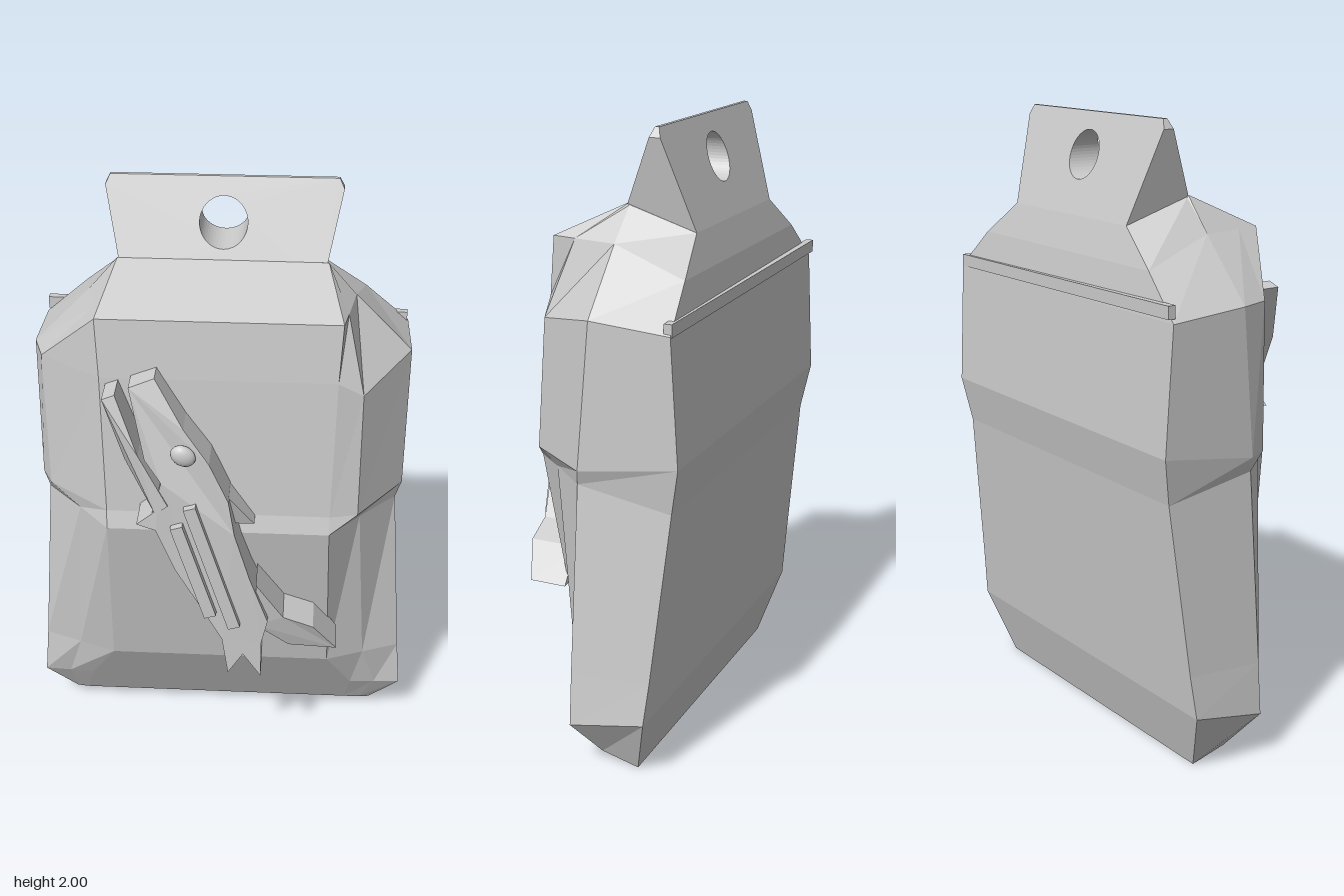
import * as THREE from 'three';

const material = new THREE.MeshStandardMaterial({ color: 0xcccccc, flatShading: true });

function mesh(name, geometry) {
  const m = new THREE.Mesh(geometry, material);
  m.name = name;
  return m;
}

// Piecewise linear lookup in [y, value] pairs sorted by y
function lookup(pairs, y) {
  if (y <= pairs[0][0]) return pairs[0][1];
  for (let i = 1; i < pairs.length; i++) {
    const [y0, v0] = pairs[i - 1], [y1, v1] = pairs[i];
    if (y <= y1) return v0 + (v1 - v0) * (y - y0) / (y1 - y0);
  }
  return pairs[pairs.length - 1][1];
}

// Extruded outline whose front and back depth vary with height
function slab(shape, front, back) {
  const g = new THREE.ExtrudeGeometry(shape, { depth: 1, bevelEnabled: false, curveSegments: 24 });
  const p = g.attributes.position;
  for (let i = 0; i < p.count; i++) {
    const y = p.getY(i);
    p.setZ(i, THREE.MathUtils.lerp(lookup(back, y), lookup(front, y), p.getZ(i)));
  }
  g.computeVertexNormals();
  return g;
}

const outline = (pts) => new THREE.Shape(pts.map(([x, y]) => new THREE.Vector2(x, y)));

// One pouch section: front corner, chamfer, side front, side back, then mirrored;
// the right side may have its own chamfer point
function section(corner, chamfer, sideFront, sideBack, otherChamfer = chamfer) {
  const mirrored = [sideBack, sideFront, otherChamfer, corner].map(([x, y, z]) => [-x, y, z]);
  return [corner, chamfer, sideFront, sideBack, ...mirrored];
}

// Faceted pouch: sections joined bottom to top
function pouchGeometry() {
  const sections = [
    section([0.45, 0.03, -0.06], [0.50, 0.03, -0.06], [0.54, 0.03, -0.065], [0.54, 0.0, -0.19]),
    section([0.465, 0.16, 0.01], [0.55, 0.16, 0.005], [0.64, 0.16, 0], [0.635, 0.21, -0.25]),
    section([0.375, 0.33, 0.10], [0.50, 0.33, 0.05], [0.625, 0.33, 0], [0.62, 0.35, -0.265]),
    section([0.36, 0.94, 0.225], [0.46, 0.95, 0.12], [0.58, 0.95, -0.01], [0.58, 0.90, -0.32]),
    section([0.36, 1.0, 0.21], [0.45, 1.0, 0.19], [0.60, 1.0, -0.02], [0.60, 1.05, -0.348], [0.565, 1.0, 0.05]),
    section([0.37, 1.47, 0.18], [0.45, 1.42, 0.16], [0.605, 1.47, -0.065], [0.605, 1.45, -0.325], [0.57, 1.47, 0.04]),
    section([0.38, 1.66, 0.16], [0.395, 1.66, 0.08], [0.42, 1.66, -0.063], [0.46, 1.58, -0.307]),
    section([0.33, 1.765, -0.06], [0.33, 1.765, -0.065], [0.33, 1.76, -0.07], [0.31, 1.69, -0.28]),
  ];
  const n = 8, index = [];
  for (let i = 0; i < sections.length - 1; i++) {
    for (let j = 0; j < n; j++) {
      const a = i * n + j, b = i * n + (j + 1) % n;
      index.push(a, b, b + n, a, b + n, a + n);
    }
  }
  const top = (sections.length - 1) * n;
  for (let j = 1; j < n - 1; j++) index.push(0, j + 1, j, top, top + j, top + j + 1);
  const g = new THREE.BufferGeometry();
  g.setAttribute('position', new THREE.Float32BufferAttribute(sections.flat(2), 3));
  g.setIndex(index);
  const flat = g.toNonIndexed();
  flat.computeVertexNormals();
  return flat;
}

export function createModel() {
  const group = new THREE.Group();
  group.name = 'pouch';
  group.add(mesh('pouchBody', pouchGeometry()));

  // Wedge-shaped hanging header with a round hole
  const header = outline([[-0.31, 1.69], [0.31, 1.69], [0.37, 1.97], [0.355, 2], [-0.355, 2], [-0.37, 1.97]]);
  const hole = new THREE.Path();
  hole.absarc(0, 1.87, 0.075, 0, Math.PI * 2, true);
  header.holes.push(hole);
  group.add(mesh('hangingHeader', slab(header,
    [[1.69, -0.03], [2, -0.165]], [[1.69, -0.28], [2, -0.178]])));

  // Thin seam strip across the back
  const seam = mesh('backSeam', new THREE.BoxGeometry(1.2, 0.04, 0.025));
  seam.position.set(0, 1.475, -0.321);
  seam.rotation.set(0, -0.01, -0.015);
  group.add(seam);

  // Clip tool lying diagonally on the front
  const tool = new THREE.Group();
  tool.name = 'clipTool';
  const toolBack = [[0.43, 0.14], [0.6, 0.13], [0.95, 0.2], [1.3, 0.18], [1.51, 0.17]];
  const toolFront = [[0.43, 0.325], [0.6, 0.325], [0.95, 0.335], [1.3, 0.315], [1.51, 0.25]];
  tool.add(mesh('toolBody', slab(outline([
    [-0.27, 1.48], [-0.22, 1.26], [-0.17, 1.18], [-0.2, 1.07], [-0.25, 1.03], [-0.19, 1.01],
    [-0.13, 0.86], [-0.07, 0.75], [0.02, 0.58], [0.04, 0.44], [0.09, 0.52], [0.15, 0.43],
    [0.15, 0.57], [0.17, 0.66], [0.11, 0.83],
    [0.06, 1.0], [0.04, 1.12], [-0.02, 1.25], [-0.1, 1.36], [-0.19, 1.51],
  ]), toolFront, toolBack)));
  tool.add(mesh('toolArm', slab(outline([
    [-0.35, 1.45], [-0.28, 1.27], [-0.19, 1.07], [-0.15, 1.1], [-0.24, 1.28], [-0.31, 1.465],
  ]), [[1.07, 0.33], [1.3, 0.325], [1.46, 0.28]], toolBack)));

  // Lower side foot and small side spur
  tool.add(mesh('toolFoot', slab(outline([
    [0.13, 0.62], [0.24, 0.52], [0.4, 0.51], [0.32, 0.62], [0.22, 0.66], [0.13, 0.8],
  ]), [[0.51, 0.26], [0.62, 0.295], [0.8, 0.32]], toolBack)));
  tool.add(mesh('toolSpur', slab(outline([
    [0.03, 1.0], [0.12, 1.0], [0.03, 1.13],
  ]), [[1.0, 0.26], [1.13, 0.3]], toolBack)));

  // Raised ribs along the handle
  for (const [x, y, length] of [[-0.01, 0.875, 0.48], [-0.07, 0.86, 0.36]]) {
    const rib = mesh('handleRib', new THREE.BoxGeometry(0.04, length, 0.05));
    rib.position.set(x, y, 0.325);
    rib.rotation.z = 0.3;
    tool.add(rib);
  }

  // Domed pivot rivet
  const rivet = mesh('pivotRivet', new THREE.SphereGeometry(0.042, 16, 10));
  rivet.material = new THREE.MeshStandardMaterial({ color: 0xcccccc });
  rivet.scale.set(1, 0.8, 0.5);
  rivet.rotation.z = -0.6;
  rivet.position.set(-0.1, 1.28, 0.318);
  tool.add(rivet);
  group.add(tool);
  return group;
}
